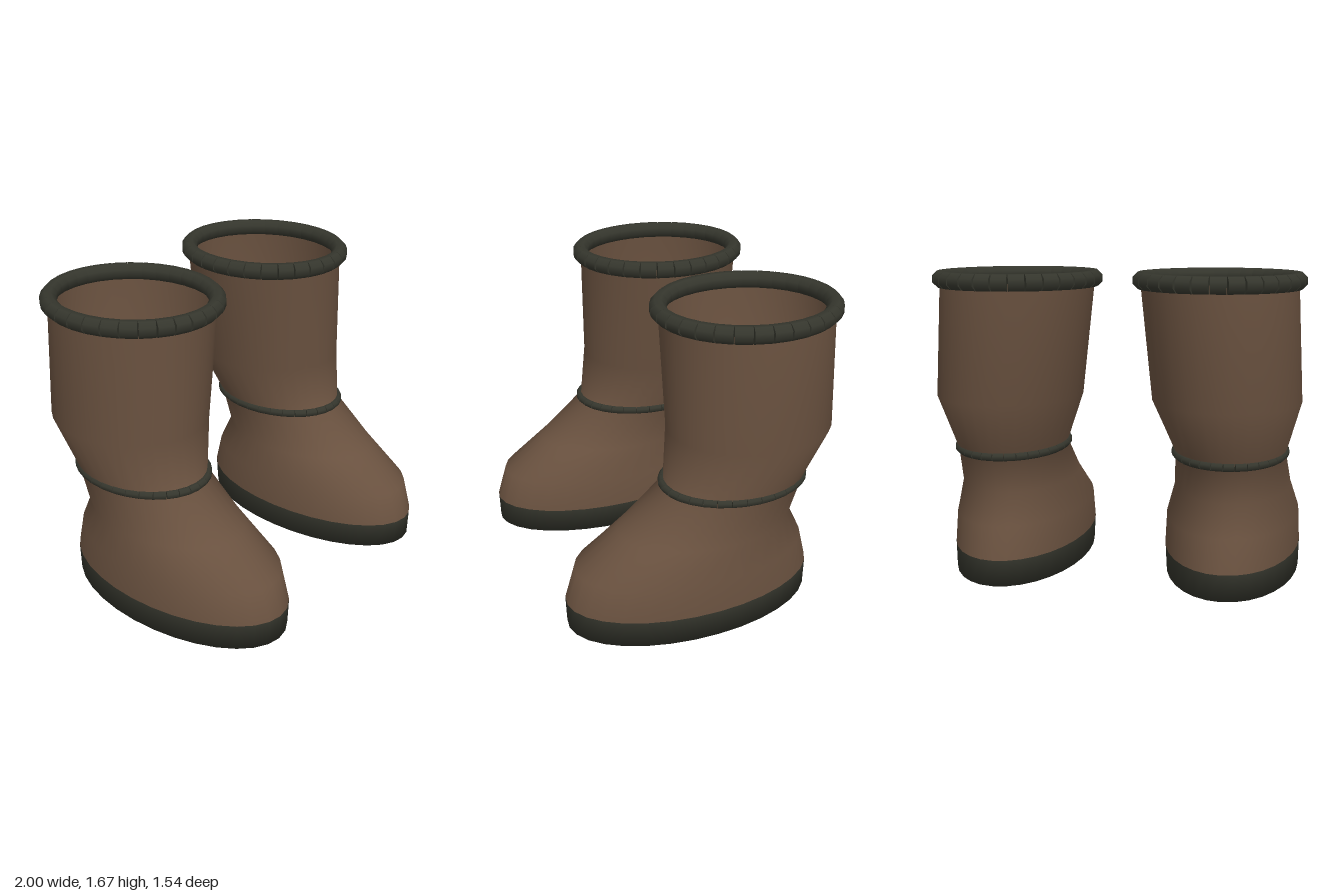
import * as THREE from 'three';
import { mergeGeometries } from 'three/addons/utils/BufferGeometryUtils.js';

const SEG = 32;

// Smooth skin through elliptical sections [y, innerX, outerX, frontZ, backZ]
function loft(sections, side) {
  const pos = [], index = [];
  for (const [y, x0, x1, z0, z1] of sections) {
    for (let i = 0; i < SEG; i++) {
      const a = (i / SEG) * Math.PI * 2;
      pos.push(
        side * (x0 + x1) / 2 + (x1 - x0) / 2 * Math.cos(a),
        y,
        (z0 + z1) / 2 + (z0 - z1) / 2 * Math.sin(a)
      );
    }
  }
  for (let j = 0; j < sections.length - 1; j++) {
    for (let i = 0; i < SEG; i++) {
      const a = j * SEG + i, b = j * SEG + (i + 1) % SEG;
      index.push(a, a + SEG, b, b, a + SEG, b + SEG);
    }
  }
  const g = new THREE.BufferGeometry();
  g.setAttribute('position', new THREE.Float32BufferAttribute(pos, 3));
  g.setIndex(index);
  g.computeVertexNormals();
  return g;
}

// Elliptical ring of short straight tube pieces
function segmentedRing(cx, cy, cz, rx, rz, radius, tilt = 0) {
  const up = new THREE.Vector3(0, 1, 0);
  const point = (i) => {
    const a = (i / SEG) * Math.PI * 2;
    return new THREE.Vector3(cx + rx * Math.cos(a), cy + tilt * Math.sin(a), cz + rz * Math.sin(a));
  };
  const pieces = [];
  for (let i = 0; i < SEG; i++) {
    const p = point(i), q = point(i + 1);
    const dir = q.clone().sub(p);
    const g = new THREE.CylinderGeometry(radius, radius, dir.length() * 0.99, 8);
    g.rotateY(Math.PI / 8);
    dir.normalize();
    const out = up.clone().cross(dir).normalize();
    const top = dir.clone().cross(out);
    const m = new THREE.Matrix4().makeBasis(top, dir, out);
    m.setPosition(p.add(q).multiplyScalar(0.5));
    g.applyMatrix4(m);
    pieces.push(g);
  }
  return mergeGeometries(pieces);
}

export function createModel() {
  const leather = new THREE.MeshStandardMaterial({ color: 0x69513f, side: THREE.DoubleSide });
  leather.name = 'brown leather';
  const rubber = new THREE.MeshStandardMaterial({ color: 0x35362d, side: THREE.DoubleSide });
  rubber.name = 'dark trim';

  const soleSections = [
    [0, 0.61, 0.61, 0.07, 0.07],
    [0, 0.24, 0.985, 0.765, -0.63],
    [0.145, 0.232, 0.988, 0.77, -0.635],
  ];
  const upperSections = [
    [0.145, 0.232, 0.988, 0.77, -0.635],
    [0.32, 0.24, 0.98, 0.715, -0.59],
    [0.49, 0.29, 0.935, 0.47, -0.505],
    [0.705, 0.315, 0.91, 0.205, -0.58],
    [1.0, 0.2, 0.99, 0.17, -0.725],
    [1.628, 0.132, 0.957, 0.192, -0.732],
  ];

  const group = new THREE.Group();
  group.name = 'boots';
  for (const side of [1, -1]) {
    const boot = new THREE.Group();
    boot.name = side > 0 ? 'leftBoot' : 'rightBoot';
    const add = (name, geometry, material) => {
      const mesh = new THREE.Mesh(geometry, material);
      mesh.name = name;
      boot.add(mesh);
    };
    add('sole', loft(soleSections, side), rubber);
    add('upper', loft(upperSections, side), leather);
    add('ankleBand', segmentedRing(side * 0.61, 0.707, -0.185, 0.296, 0.394, 0.023, 0.005), rubber);
    add('topCuff', segmentedRing(side * 0.545, 1.628, -0.267, 0.411, 0.458, 0.046), rubber);
    group.add(boot);
  }
  return group;
}
